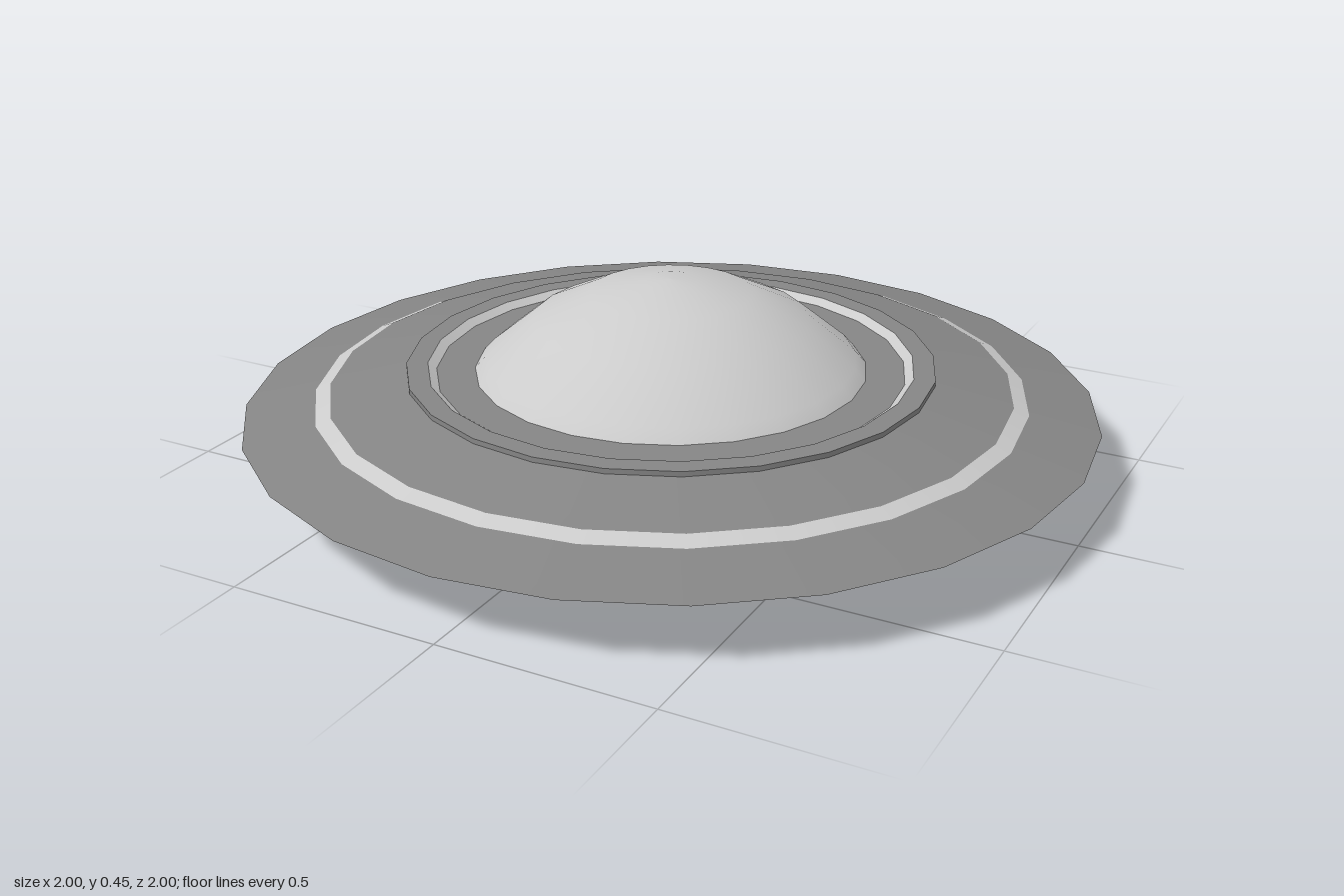
import * as THREE from 'three';

const SIDES = 24;
const light = new THREE.MeshStandardMaterial({ color: 0xcccccc });
const dark = new THREE.MeshStandardMaterial({ color: 0x858585 });

// Lathe one smooth profile, listed from the bottom axis outward and up
function turn(name, points, material, sides = SIDES) {
  const profile = points.map(([r, y]) => new THREE.Vector2(r, y));
  const mesh = new THREE.Mesh(new THREE.LatheGeometry(profile, sides), material);
  mesh.name = name;
  return mesh;
}

// Lathe each profile segment separately so the edges between them stay sharp
function turnSharp(name, points, material, sides = SIDES) {
  const group = new THREE.Group();
  group.name = name;
  for (let i = 0; i < points.length - 1; i++) {
    group.add(turn(name + 'Face' + (i + 1), [points[i], points[i + 1]], material, sides));
  }
  return group;
}

// Small landing lamp: collar with a bulging lens below it
function createPod() {
  const pod = new THREE.Group();
  pod.add(
    turn('podCollar', [[0.033, 0.041], [0.043, 0.046], [0.049, 0.058], [0.049, 0.08]], light, 12),
    turn('podLens', [[0, 0.02], [0.018, 0.023], [0.031, 0.032], [0.036, 0.045]], light, 12)
  );
  return pod;
}

export function createModel() {
  const model = new THREE.Group();
  model.name = 'flyingSaucer';

  // Base drum under the hull
  model.add(turn('baseFloor', [[0, 0], [0.38, 0]], dark));
  model.add(turn('baseWall', [[0.38, 0], [0.405, 0.004], [0.42, 0.02], [0.43, 0.055]], light));

  // Underside with a shallow step around the base
  model.add(turnSharp('underside', [[0.42, 0.055], [0.47, 0.055], [0.49, 0.05]], dark));
  model.add(turn('lowerHull', [[0.49, 0.05], [0.63, 0.061], [1, 0.15]], dark));

  // Upper hull, raised collar and the recess around the dome
  model.add(turnSharp('outerHull', [[1, 0.15], [0.835, 0.185]], dark));
  model.add(turnSharp('outerBand', [[0.835, 0.185], [0.8, 0.2]], light));
  model.add(turnSharp('upperHull', [[0.8, 0.2], [0.62, 0.238]], dark));
  model.add(turnSharp('collar', [[0.62, 0.238], [0.62, 0.25], [0.57, 0.25]], dark));
  model.add(turnSharp('innerBand', [[0.57, 0.25], [0.55, 0.235]], light));
  model.add(turnSharp('recessFloor', [[0.55, 0.235], [0.44, 0.235]], dark));

  // Dome: a spherical cap
  const radius = 0.6;
  const cap = [50, 46.5, 32.5, 18.5, 6, 0].map((deg) => {
    const a = THREE.MathUtils.degToRad(deg);
    return [radius * Math.sin(a), 0.45 - radius * (1 - Math.cos(a))];
  });
  model.add(turn('dome', cap, light));

  // Eight lamps in a ring under the hull
  for (let i = 0; i < 8; i++) {
    const a = THREE.MathUtils.degToRad(15 + i * 45);
    const pod = createPod();
    pod.name = 'pod' + (i + 1);
    pod.position.set(0.635 * Math.cos(a), 0, 0.635 * Math.sin(a));
    model.add(pod);
  }
  return model;
}
